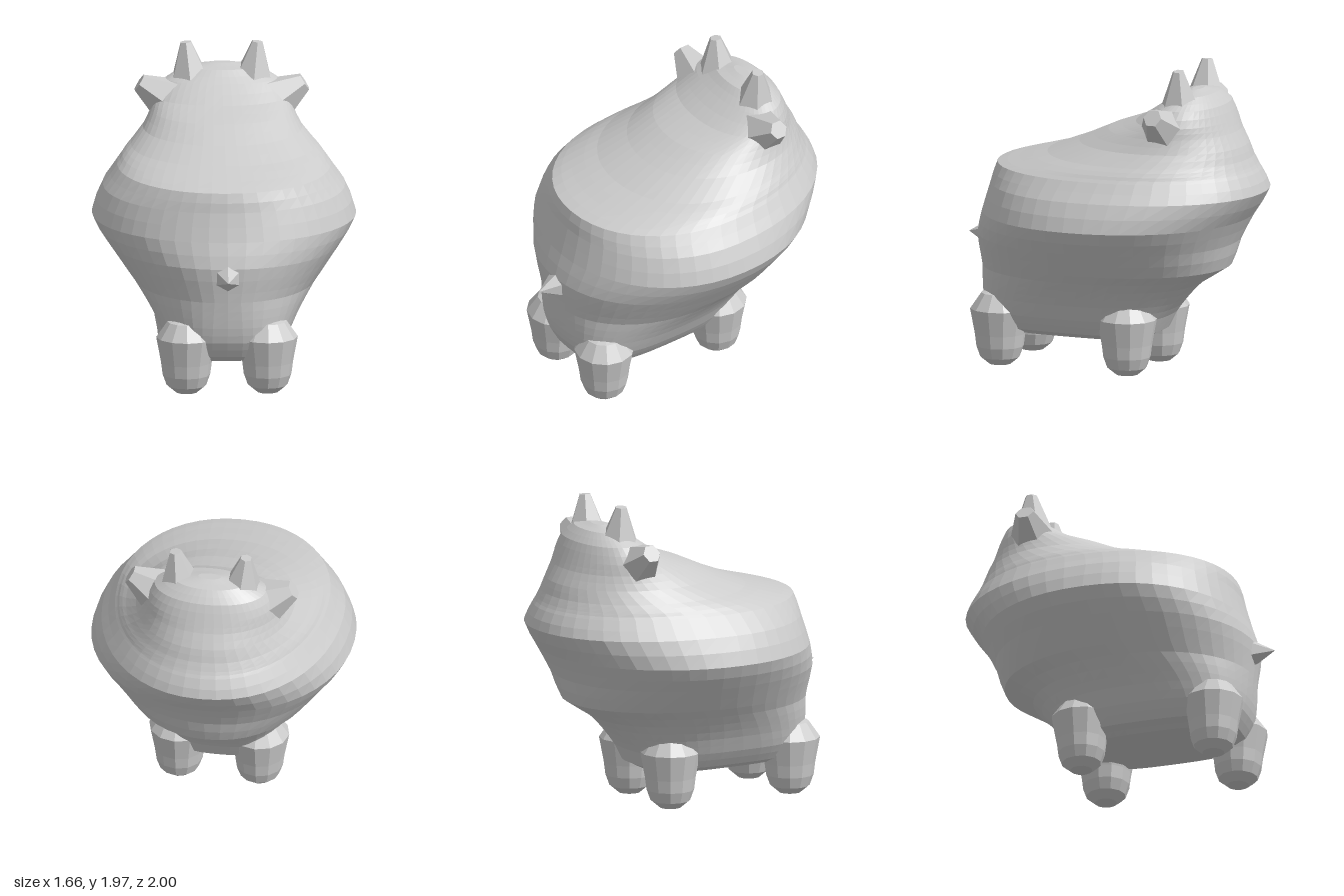
import * as THREE from 'three';

const material = new THREE.MeshStandardMaterial({ color: 0xcccccc, flatShading: true });

// Horizontal body sections: y, tail-side z, head-side z, half width, z of the widest point
const SECTIONS = [
  [0.21, 0.72, -0.24, 0.25, 0.25],
  [0.25, 0.78, -0.32, 0.34, 0.25],
  [0.35, 0.83, -0.37, 0.41, 0.25],
  [0.45, 0.85, -0.45, 0.46, 0.22],
  [0.56, 0.86, -0.56, 0.53, 0.16],
  [0.68, 0.87, -0.75, 0.62, 0.08],
  [0.84, 0.88, -0.80, 0.735, 0.03],
  [1.00, 0.83, -0.88, 0.83, 0.00],
  [1.18, 0.78, -1.00, 0.76, 0.00],
  [1.30, 0.75, -0.95, 0.67, -0.04],
  [1.34, 0.60, -0.925, 0.635, -0.10],
  [1.39, 0.41, -0.90, 0.58, -0.20],
  [1.47, 0.20, -0.87, 0.50, -0.33],
  [1.56, 0.00, -0.82, 0.45, -0.42],
  [1.63, -0.20, -0.79, 0.42, -0.48],
  [1.73, -0.36, -0.745, 0.355, -0.53],
  [1.80, -0.45, -0.68, 0.23, -0.56],
  [1.825, -0.54, -0.60, 0.07, -0.57],
];

// Point of a section at angle a, measured from +z towards +x; sections get squarer towards the belly
function sectionPoint([y, zTail, zHead, w, zc], a) {
  const s = Math.sin(a), c = Math.cos(a);
  const power = 2 / (2.1 + 2.6 * Math.max(0, 0.62 - y));
  const depth = c >= 0 ? zTail - zc : zHead - zc;
  return [Math.sign(s) * Math.abs(s) ** power * w, y, zc + depth * Math.abs(c) ** power];
}

// Adds a smoothed section halfway between each pair
function refine(sections) {
  const rows = [sections[0]];
  for (let i = 1; i < sections.length; i++) {
    const p = sections[i - 1], q = sections[i];
    const before = sections[i - 2] ?? p, after = sections[i + 1] ?? q;
    rows.push(p.map((v, n) => (v + q[n]) / 2 + (n ? (v + q[n] - before[n] - after[n]) / 24 : 0)), q);
  }
  return rows;
}

function loftGeometry(rows, segments) {
  const positions = [], index = [];
  for (const row of rows) {
    for (let j = 0; j < segments; j++) positions.push(...sectionPoint(row, (j / segments) * Math.PI * 2));
  }
  const last = rows.length - 1;
  for (let i = 0; i < last; i++) {
    for (let j = 0; j < segments; j++) {
      const a = i * segments + j, b = i * segments + (j + 1) % segments;
      index.push(a, b, b + segments, a, b + segments, a + segments);
    }
  }
  // Close both ends
  const bottom = positions.length / 3, top = bottom + 1;
  positions.push(0, rows[0][0] + 0.02, rows[0][4], 0, rows[last][0], rows[last][4]);
  for (let j = 0; j < segments; j++) {
    const k = (j + 1) % segments;
    index.push(bottom, k, j, top, last * segments + j, last * segments + k);
  }
  const geometry = new THREE.BufferGeometry();
  geometry.setAttribute('position', new THREE.Float32BufferAttribute(positions, 3));
  geometry.setIndex(index);
  geometry.computeVertexNormals();
  return geometry;
}

function addMesh(parent, name, geometry) {
  const mesh = new THREE.Mesh(geometry, material);
  mesh.name = name;
  parent.add(mesh);
  return mesh;
}

// Blunt spike from one point to another
function addSpike(parent, name, from, to, rBase, rTip) {
  const a = new THREE.Vector3(...from), b = new THREE.Vector3(...to);
  const direction = b.clone().sub(a);
  const mesh = addMesh(parent, name, new THREE.CylinderGeometry(rTip, rBase, direction.length(), 6));
  mesh.position.copy(a).add(b).multiplyScalar(0.5);
  mesh.quaternion.setFromUnitVectors(new THREE.Vector3(0, 1, 0), direction.normalize());
}

export function createModel() {
  const group = new THREE.Group();
  group.name = 'stoutHornedAnimal';

  // Body and head in one skin
  addMesh(group, 'body', loftGeometry(refine(SECTIONS), 48));

  // Stubby rounded legs that widen into the belly
  const legProfile = [[0, 0], [0.07, 0.005], [0.125, 0.05], [0.15, 0.12], [0.16, 0.2], [0.175, 0.28], [0.19, 0.36], [0.12, 0.46], [0, 0.5]]
    .map(([r, y]) => new THREE.Vector2(r, y));
  for (const side of [-1, 1]) {
    const label = side > 0 ? 'left' : 'right';
    for (const [name, z] of [['HeadEndLeg', -0.19], ['TailEndLeg', 0.68]]) {
      const leg = addMesh(group, label + name, new THREE.LatheGeometry(legProfile, 12));
      leg.position.set(side * 0.255, 0, z);
    }
    // Horns and ears
    addSpike(group, label + 'Horn', [side * 0.2, 1.74, -0.53], [side * 0.225, 1.965, -0.53], 0.125, 0.037);
    addSpike(group, label + 'Ear', [side * 0.35, 1.61, -0.48], [side * 0.52, 1.715, -0.48], 0.15, 0.06);
  }

  // Pointed tail
  addSpike(group, 'tail', [0, 0.78, 0.84], [0, 0.78, 1.0], 0.1, 0.003);

  return group;
}
